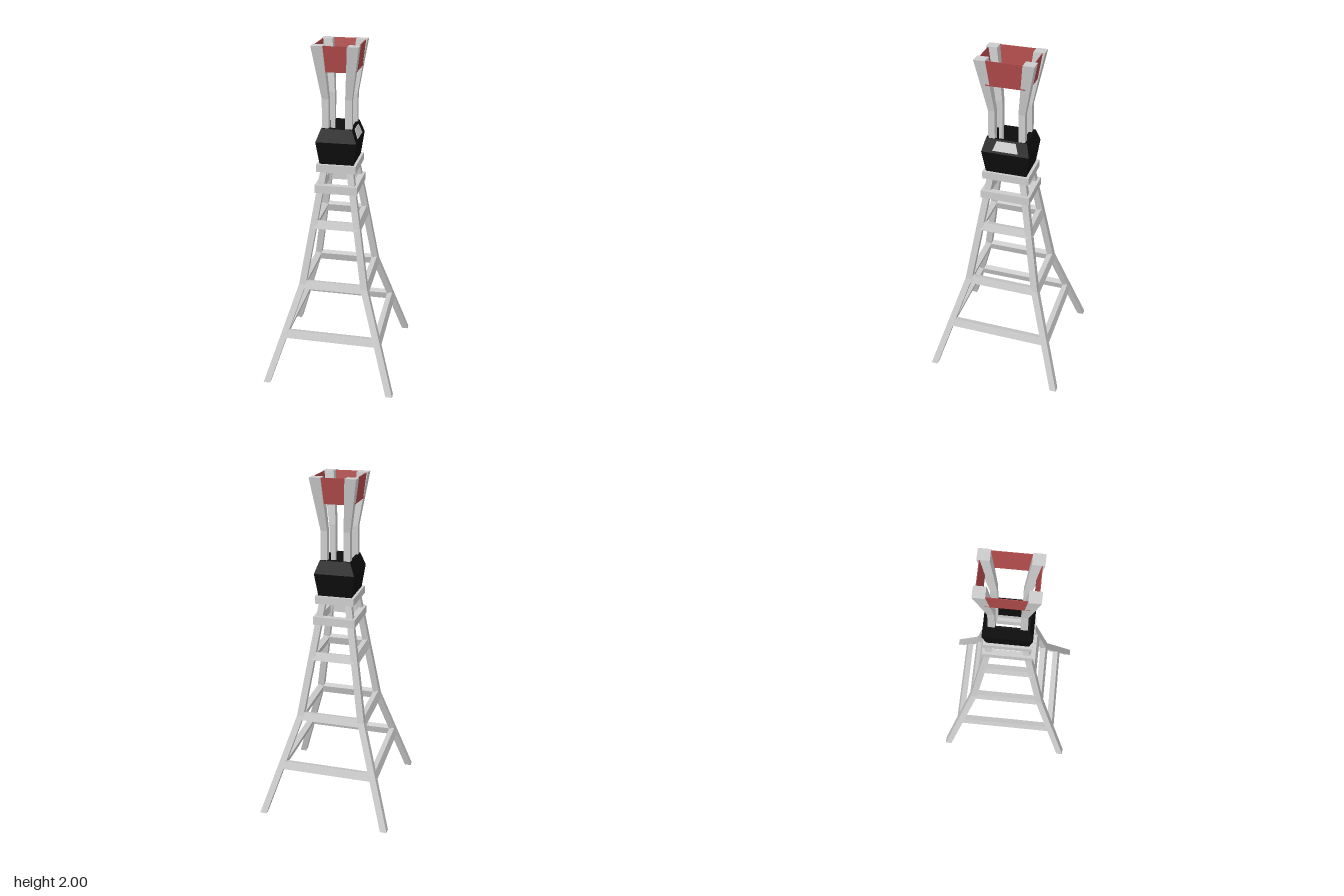
import * as THREE from 'three';

const mat = (color) => new THREE.MeshStandardMaterial({ color, flatShading: true, side: THREE.DoubleSide });

// Horizontal rectangle centred on (cx, cz), corners counter-clockwise from above
const rect = (y, hx, hz, cx = 0, cz = 0) =>
  [[1, 1], [1, -1], [-1, -1], [-1, 1]].map(([sx, sz]) => [cx + sx * hx, y, cz + sz * hz]);

// Skin a list of four-cornered sections, capping the ends if asked
function loft(sections, capped = true) {
  const pos = [];
  const quad = (a, b, c, d) => pos.push(...a, ...b, ...c, ...a, ...c, ...d);
  for (let i = 0; i < sections.length - 1; i++) {
    const lo = sections[i], hi = sections[i + 1];
    for (let j = 0; j < 4; j++) {
      const k = (j + 1) % 4;
      quad(lo[j], lo[k], hi[k], hi[j]);
    }
  }
  if (capped) {
    quad(...sections[sections.length - 1]);
    quad(...[...sections[0]].reverse());
  }
  const g = new THREE.BufferGeometry();
  g.setAttribute('position', new THREE.Float32BufferAttribute(pos, 3));
  g.computeVertexNormals();
  return g;
}

export function createModel() {
  const model = new THREE.Group();
  model.name = 'tower';
  const grey = mat(0xcccccc), red = mat(0xb04a4a), black = mat(0x0d0d0d);

  const add = (name, geometry, material, parent = model) => {
    const mesh = new THREE.Mesh(geometry, material);
    mesh.name = name;
    parent.add(mesh);
    return mesh;
  };

  // Leg centre line: height, x, z, half thickness
  const path = [
    [0, 0.375, 0.395, 0.02],
    [0.6, 0.186, 0.21, 0.02],
    [1.34, 0.068, 0.088, 0.019],
    [1.7, 0.066, 0.086, 0.019],
    [2, 0.099, 0.133, 0.032],
  ];
  const at = (y) => {
    const i = Math.max(1, path.findIndex((p) => p[0] >= y));
    const a = path[i - 1], b = path[i], t = (y - a[0]) / (b[0] - a[0]);
    return { x: a[1] + (b[1] - a[1]) * t, z: a[2] + (b[2] - a[2]) * t };
  };

  // Four legs running from the ground to the crown
  for (const sx of [1, -1]) for (const sz of [1, -1]) {
    add('leg', loft(path.map(([y, x, z, h]) => rect(y, h, h, sx * x, sz * z))), grey);
  }

  // Square frames of leaning braces
  for (const y of [0.295, 0.593, 0.963]) {
    const { x, z } = at(y);
    const frame = new THREE.Group();
    frame.name = 'braceFrame';
    model.add(frame);
    for (let k = 0; k < 4; k++) {
      const [half, out] = k % 2 ? [z, x] : [x, z];
      const side = new THREE.Group();
      side.rotation.y = k * Math.PI / 2;
      side.name = 'braceSide';
      frame.add(side);
      const brace = add('brace', new THREE.BoxGeometry(half * 2, 0.05, 0.036), grey, side);
      brace.position.set(0, y, out);
      brace.rotation.x = -0.3;
    }
  }

  // Two collars under the drum
  for (const [y0, y1, x, z] of [[1.157, 1.205, 0.124, 0.146], [1.283, 1.328, 0.114, 0.137]]) {
    const t = 0.036;
    add('collar', loft([
      rect(y0, x, z), rect(y1, x, z), rect(y1, x - t, z - t), rect(y0, x - t, z - t), rect(y0, x, z),
    ], false), grey);
  }

  // Hollow faceted drum
  add('drum', loft([
    rect(1.325, 0.098, 0.119), rect(1.46, 0.117, 0.139), rect(1.535, 0.088, 0.118),
    rect(1.535, 0.075, 0.088), rect(1.325, 0.075, 0.088), rect(1.325, 0.098, 0.119),
  ], false), black);

  // Pale plate on the drum's left upper slope
  const slopeX = (y) => 0.117 - 0.029 * (y - 1.46) / 0.075;
  add('drumPlate', loft([[1.473, 0.074], [1.525, 0.055]].map(
    ([y, hz]) => rect(y, 0.002, hz, slopeX(y) + 0.001, 0))), grey);

  // Red panels between the crown posts
  const low = 1.855, a = at(low), b = at(2);
  const t = 0.002;
  for (const s of [1, -1]) {
    add('crownPanel', loft([rect(low, a.x, t, 0, s * (a.z + 0.018)), rect(1.999, b.x, t, 0, s * (b.z + 0.018))]), red);
    add('crownPanel', loft([rect(low, t, a.z, s * (a.x + 0.024), 0), rect(1.999, t, b.z, s * (b.x + 0.024), 0)]), red);
  }

  return model;
}
